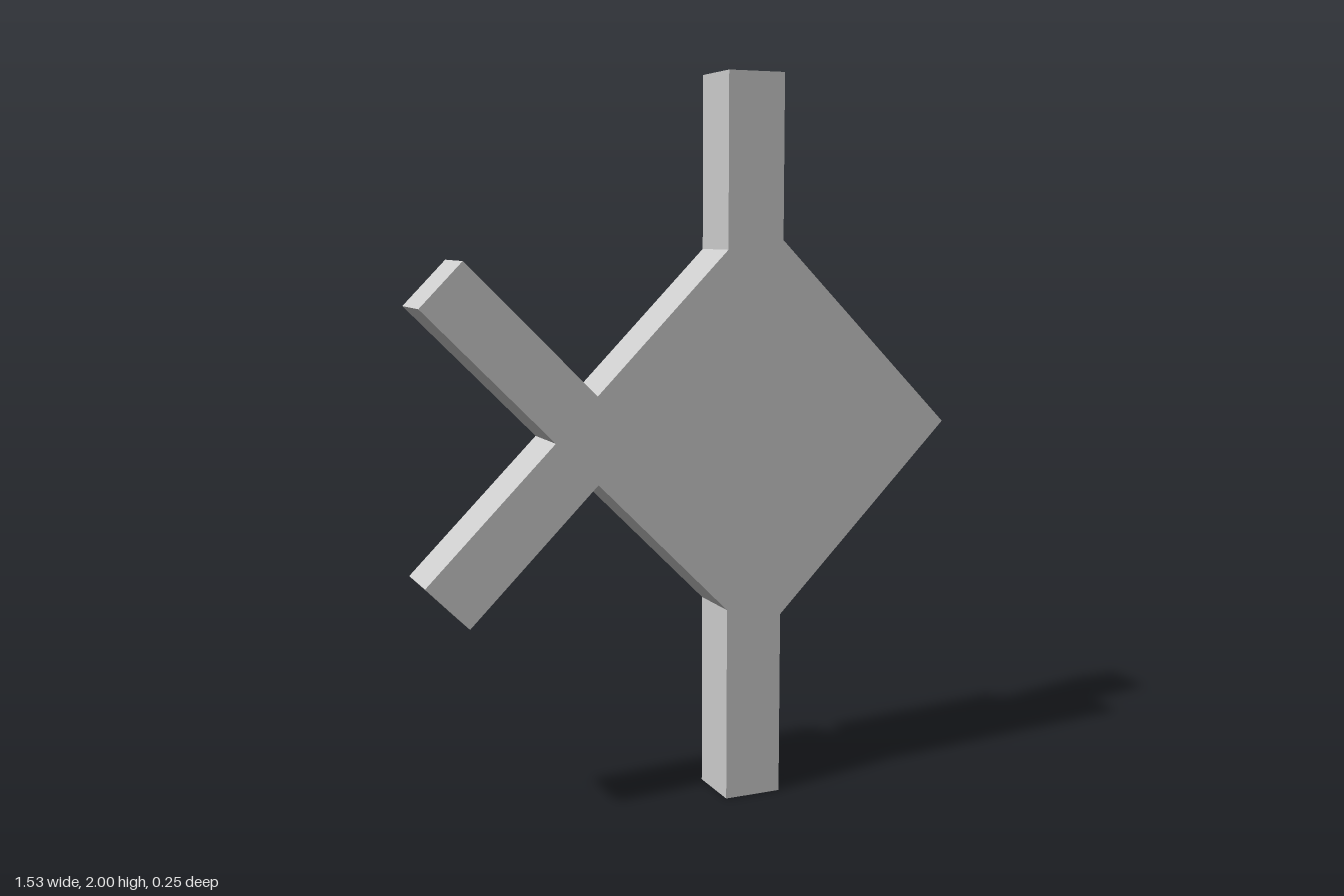
import * as THREE from 'three';

const material = new THREE.MeshStandardMaterial({ color: 0xcccccc, flatShading: true });
const MID = 1.035; // height of the diamond's centre

// Flat plate with the given outline, reaching from zBack to zFront
function plate(name, points, zBack, zFront) {
  const shape = new THREE.Shape(points.map(([x, y]) => new THREE.Vector2(x, y)));
  const geometry = new THREE.ExtrudeGeometry(shape, { depth: zFront - zBack, bevelEnabled: false });
  geometry.translate(0, 0, zBack);
  const mesh = new THREE.Mesh(geometry, material);
  mesh.name = name;
  return mesh;
}

export function createModel() {
  const group = new THREE.Group();
  group.name = 'diamondWithArms';

  // Diamond body, forked tail and vertical arms as one continuous outline
  const body = plate('body', [
    [0.765, MID],                                             // right tip
    [0.245, 1.555], [0.245, 2], [0.08, 2], [0.08, 1.53],      // upper arm
    [-0.295, 1.153], [-0.65, 1.507], [-0.765, 1.39],          // upper tail fork
    [-0.412, MID],                                            // notch
    [-0.765, 0.683], [-0.65, 0.566], [-0.295, 0.918],         // lower tail fork
    [0.08, 0.543], [0.08, 0], [0.245, 0], [0.245, 0.515],     // lower arm
  ], -0.042, 0.124);

  // Raised diamond on the back
  const cx = 0.175, r = 0.353;
  const panel = plate('backPanel', [
    [cx + r, MID], [cx, MID + r], [cx - r, MID], [cx, MID - r],
  ], -0.124, -0.042);

  group.add(body, panel);
  return group;
}
